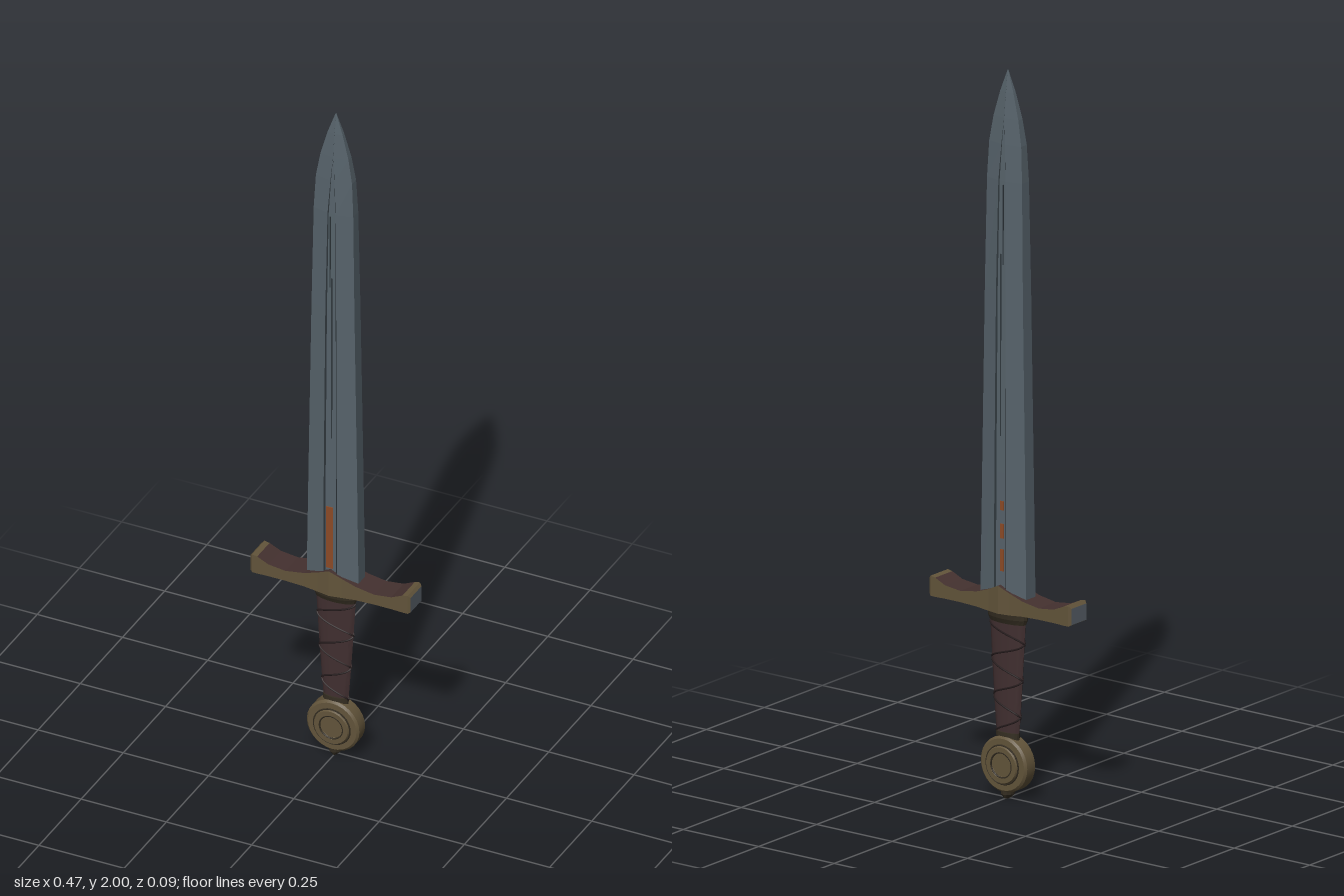
import * as THREE from 'three';
import { toCreasedNormals } from 'three/addons/utils/BufferGeometryUtils.js';

const material = (name, color, side = THREE.FrontSide) => {
  const m = new THREE.MeshStandardMaterial({ color, side });
  m.name = name;
  return m;
};

// Skins closed rings of points; pick(row, strip) gives a material index, caps use pick(-1, -1).
function loft(rings, pick = () => 0) {
  const buckets = [];
  const tri = (m, ...pts) => (buckets[m] ??= []).push(...pts.flat());
  const n = rings[0].length;
  for (let i = 0; i < rings.length - 1; i++) {
    for (let j = 0; j < n; j++) {
      const k = (j + 1) % n, lo = rings[i], hi = rings[i + 1];
      tri(pick(i, j), lo[j], hi[j], lo[k]);
      tri(pick(i, j), lo[k], hi[j], hi[k]);
    }
  }
  const first = rings[0], last = rings[rings.length - 1];
  for (let j = 1; j < n - 1; j++) {
    tri(pick(-1, -1), first[0], first[j], first[j + 1]);
    tri(pick(-1, -1), last[0], last[j + 1], last[j]);
  }
  const geo = new THREE.BufferGeometry(), all = [];
  buckets.forEach((b, m) => {
    geo.addGroup(all.length / 3, b.length / 3, m);
    for (const v of b) all.push(v);
  });
  geo.setAttribute('position', new THREE.Float32BufferAttribute(all, 3));
  geo.computeVertexNormals();
  return geo;
}

const ellipseRing = (y, a, b, n = 20) => Array.from({ length: n }, (_, i) => {
  const t = (i / n) * Math.PI * 2;
  return [a * Math.cos(t), y, b * Math.sin(t)];
});

export function createModel() {
  const sword = new THREE.Group();
  sword.name = 'sword';
  const steel = material('steel', 0x56626a);
  const darkSteel = material('dark steel', 0x30383d);
  const brass = material('aged brass', 0x62543a);
  const darkBrass = material('dark brass', 0x352e22);
  const leather = material('leather', 0x412f30);
  const cord = material('dark cord', 0x261c1d);
  const wood = material('dark brown', 0x44312f);
  const worn = material('worn metal', 0x5a626a);
  const rust = material('rust', 0x8c4a26, THREE.DoubleSide);
  const add = (name, geo, mat, parent = sword) => {
    const mesh = new THREE.Mesh(geo, mat);
    mesh.name = name;
    parent.add(mesh);
    return mesh;
  };

  // Blade rows: height, half width, edge half depth, ridge half depth, fuller half width
  const bladeRows = [
    [0.55, 0.076, 0.02, 0.035, 0.02], [0.9, 0.071, 0.019, 0.034, 0.019],
    [1.4, 0.063, 0.018, 0.031, 0.016], [1.7, 0.058, 0.015, 0.026, 0.012],
    [1.8, 0.053, 0.012, 0.021, 0.006], [1.87, 0.041, 0.009, 0.016, 0.001],
    [1.94, 0.022, 0.005, 0.009, 0.0005], [2.0, 0.001, 0.0005, 0.001, 0.0002],
  ];
  const bladeRings = bladeRows.map(([y, w, e, t, r]) => {
    const inner = r * 0.8, floor = t - r * 0.2;
    const half = [[w, e], [r, t], [inner, floor], [-inner, floor], [-r, t], [-w, e]];
    return [...half, ...half.map(([x, z]) => [-x, -z])].map(([x, z]) => [x, y, z]);
  });
  add('blade', loft(bladeRings, (i, j) => (j % 6 === 1 || j % 6 === 3 ? 1 : 0)), [steel, darkSteel]);

  // Thin dark scratches along the fuller and rust stains near the guard
  const plate = (name, mat, x, y, z, w, h) =>
    add(name, new THREE.BoxGeometry(w, h, 0.003), mat).position.set(x, y, z);
  for (const s of [1, -1]) {
    plate('fullerScratch', darkSteel, 0.002, 1.25, s * 0.0287, 0.003, 0.5);
    plate('fullerScratch', darkSteel, -0.004, 1.58, s * 0.0262, 0.003, 0.22);
  }
  plate('rustStain', rust, -0.003, 0.69, 0.0315, 0.02, 0.19);
  for (const [y, h] of [[0.66, 0.06], [0.74, 0.04], [0.81, 0.025]]) {
    plate('rustSpot', rust, -0.004, y, -0.0312, 0.012, h);
  }

  // Crossguard columns: x, bottom, top, half depth
  const half = [
    [0, 0.515, 0.592, 0.044], [0.035, 0.515, 0.575, 0.038], [0.075, 0.519, 0.561, 0.037],
    [0.13, 0.521, 0.552, 0.037], [0.18, 0.521, 0.558, 0.037], [0.213, 0.52, 0.573, 0.037],
    [0.228, 0.52, 0.576, 0.037], [0.235, 0.524, 0.569, 0.032],
  ];
  const columns = [...half.slice(1).reverse().map(([x, ...r]) => [-x, ...r]), ...half];
  const guardRings = columns.map(([x, b, t, z]) => [[x, b, z], [x, t, z], [x, t, -z], [x, b, -z]]);
  const lastRow = guardRings.length - 2;
  add('crossguard', loft(guardRings, (i, j) => {
    if (i < 0) return 2;
    return j % 2 === 0 || i < 2 || i > lastRow - 2 ? 0 : 1;
  }), [brass, wood, worn]);

  // Collar between guard and grip
  add('collar', loft([[0.483, 0.058, 0.021], [0.497, 0.063, 0.027], [0.52, 0.063, 0.03]]
    .map((r) => ellipseRing(...r))), [darkBrass]);

  // Flattened leather grip, tapering towards the pommel
  const gripWidth = (y) => 0.034 + 0.024 * Math.pow((y - 0.16) / 0.33, 0.8);
  const gripDepth = (y) => 0.013 + 0.003 * ((y - 0.16) / 0.33);
  const gripRings = [];
  for (let i = 0; i <= 12; i++) {
    const y = 0.16 + (0.33 * i) / 12;
    gripRings.push(ellipseRing(y, gripWidth(y), gripDepth(y)));
  }
  add('grip', toCreasedNormals(loft(gripRings), 0.7), [leather]);

  // Crossed cords wound around the grip
  for (const s of [1, -1]) {
    const points = Array.from({ length: 73 }, (_, i) => {
      const y = 0.175 + (0.305 * i) / 72, a = (i / 72) * Math.PI * 6;
      return new THREE.Vector3(gripWidth(y) * Math.cos(a), y, s * gripDepth(y) * Math.sin(a));
    });
    add('gripCord', new THREE.TubeGeometry(new THREE.CatmullRomCurve3(points), 150, 0.0028, 5), cord);
  }

  // Round pommel with a raised boss and engraved rings on both faces
  const pommel = new THREE.Group();
  pommel.name = 'pommel';
  pommel.position.y = 0.095;
  sword.add(pommel);
  const side = [[0, 0.027], [0.032, 0.027], [0.036, 0.031], [0.049, 0.031], [0.054, 0.023], [0.071, 0.023], [0.077, 0.017]];
  const profile = [...side.map(([r, z]) => [r, -z]), ...side.slice().reverse()]
    .map(([r, z]) => new THREE.Vector2(r, z));
  add('pommelDisc', toCreasedNormals(new THREE.LatheGeometry(profile, 28).rotateX(Math.PI / 2), 0.5), brass, pommel);
  for (const s of [1, -1]) {
    for (const [r, z] of [[0.0345, 0.029], [0.053, 0.025]]) {
      add('pommelRing', new THREE.TorusGeometry(r, 0.0025, 5, 28), darkBrass, pommel).position.z = s * z;
    }
  }

  // Ferrule above the pommel and peened nub below it
  add('ferrule', loft([ellipseRing(0.155, 0.036, 0.018), ellipseRing(0.182, 0.037, 0.018)]), [darkBrass]);
  add('endNub', loft([[0, 0.006, 0.014], [0.012, 0.018, 0.021], [0.045, 0.022, 0.022]]
    .map(([y, a, b]) => ellipseRing(y, a, b, 12))), [darkBrass]);

  return sword;
}
